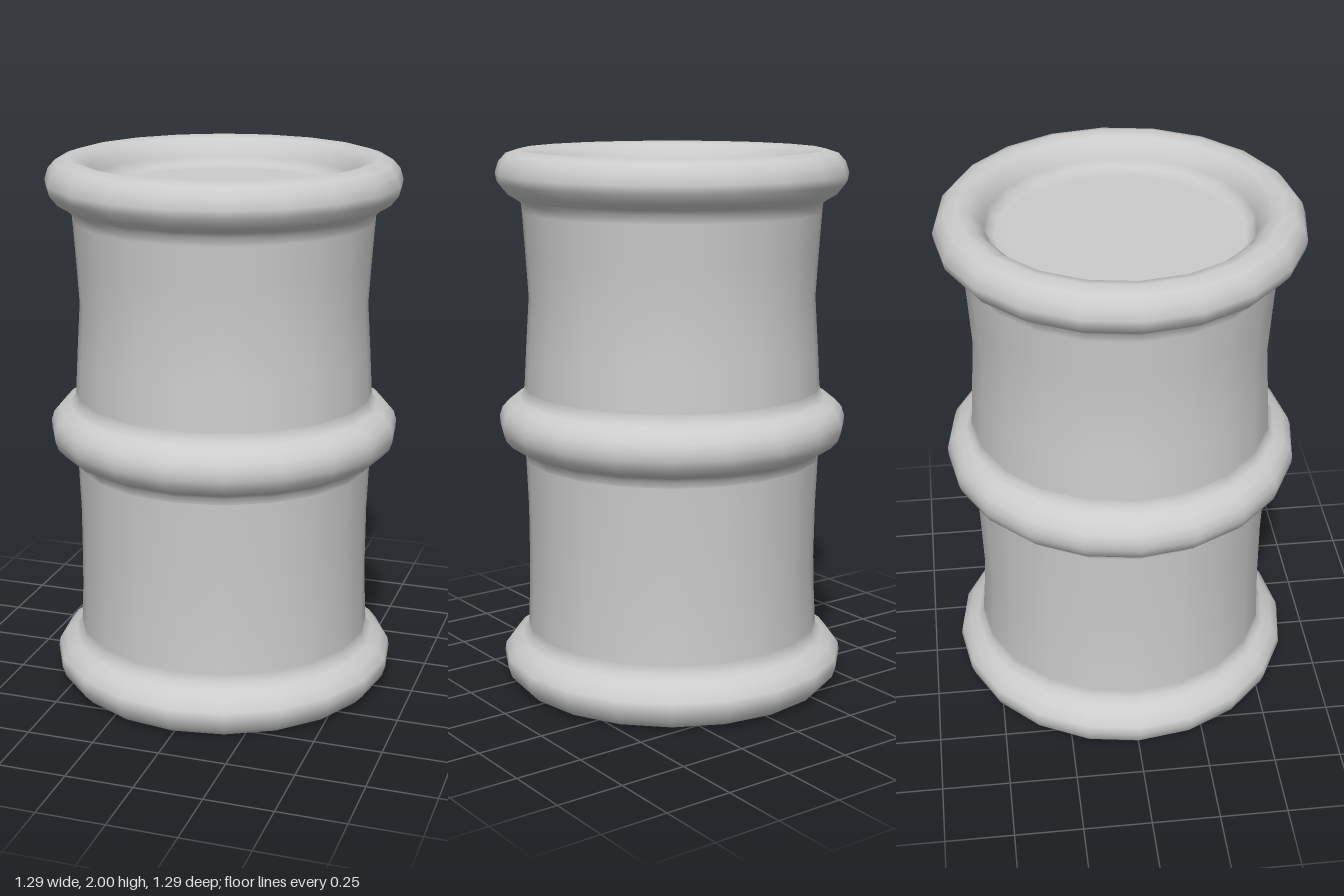
import * as THREE from 'three';

const SIDES = 20;
const material = new THREE.MeshStandardMaterial({ color: 0xcccccc });

// Revolve a list of [radius, height] points, ordered from bottom to top on the outside
function turned(name, profile) {
  const points = profile.map(([r, y]) => new THREE.Vector2(r, y));
  const mesh = new THREE.Mesh(new THREE.LatheGeometry(points, SIDES), material);
  mesh.name = name;
  return mesh;
}

// Push one side of a turned part inwards, fading with height and angle
function dent(mesh, y0, reach, depth) {
  const p = mesh.geometry.attributes.position;
  for (let i = 0; i < p.count; i++) {
    const x = p.getX(i), y = p.getY(i), z = p.getZ(i);
    const facing = Math.max(0, -z / Math.hypot(x, z));
    const fade = Math.max(0, 1 - Math.abs(y - y0) / reach);
    const s = 1 - depth * facing * facing * fade;
    p.setXYZ(i, x * s, y, z * s);
  }
}

export function createModel() {
  const group = new THREE.Group();
  group.name = 'barrel';

  // Rolled rim with its sunken head, from the wall up to the centre
  const topProfile = [
    [0.55, 1.78], [0.553, 1.81], [0.575, 1.828], [0.612, 1.85], [0.64, 1.885],
    [0.645, 1.915], [0.632, 1.955], [0.605, 1.985], [0.56, 2], [0.52, 1.99],
    [0.488, 1.962], [0.47, 1.925], [0.46, 1.9], [0.437, 1.89], [0.4, 1.89], [0, 1.89],
  ];
  const bottomProfile = topProfile.map(([r, y]) => [r, 2 - y]).reverse();
  group.add(turned('topRimAndHead', topProfile));
  group.add(turned('bottomRimAndHead', bottomProfile));

  // Raised hoop around the middle
  const halfHoop = [
    [0.645, 0.015], [0.635, 0.045], [0.61, 0.073], [0.573, 0.09], [0.555, 0.105], [0.551, 0.13],
  ];
  const lowerHalf = halfHoop.map(([r, y]) => [r, 1 - y]).reverse();
  const upperHalf = halfHoop.map(([r, y]) => [r, 1 + y]);
  group.add(turned('middleHoop', [...lowerHalf, ...upperHalf]));

  // Walls: the upper one is waisted, the lower one nearly straight with a slight dent at the back
  group.add(turned('upperWall', [
    [0.551, 1.13], [0.542, 1.28], [0.53, 1.46], [0.54, 1.63], [0.55, 1.78],
  ]));
  const lowerWall = turned('lowerWall', [
    [0.55, 0.22], [0.545, 0.34], [0.543, 0.46], [0.543, 0.66], [0.551, 0.87],
  ]);
  dent(lowerWall, 0.46, 0.24, 0.016);
  group.add(lowerWall);

  return group;
}
